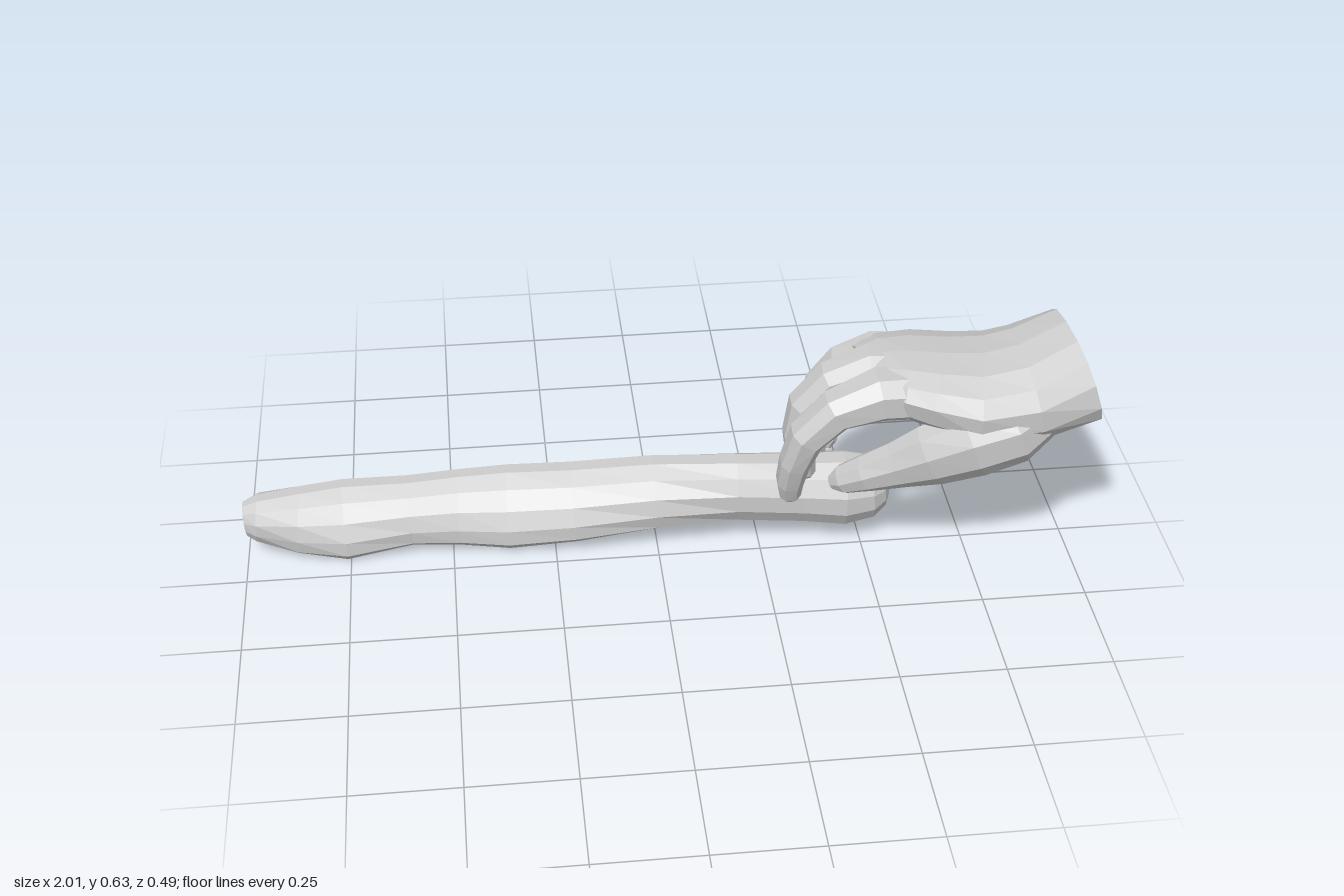
import * as THREE from 'three';

const material = new THREE.MeshStandardMaterial({ color: 0xcccccc, flatShading: true });

// Skin a closed, faceted surface over cross-sections.
// Row: [x, y, z, half height, half width, shear]; power < 1 squares the section.
function loft(name, rows, sides, power = 1) {
  const centres = rows.map(r => new THREE.Vector3(r[0], r[1], r[2]));
  const positions = [], index = [];
  const n = rows.length;
  const bend = v => Math.sign(v) * Math.pow(Math.abs(v), power);
  rows.forEach((r, i) => {
    const t = centres[Math.min(i + 1, n - 1)].clone().sub(centres[Math.max(i - 1, 0)]).normalize();
    const side = new THREE.Vector3(0, 0, 1).addScaledVector(t, -t.z).normalize();
    const up = side.clone().cross(t);
    for (let k = 0; k < sides; k++) {
      const a = (k + 0.5) / sides * Math.PI * 2;
      const h = bend(Math.sin(a)) * r[3];
      const w = bend(Math.cos(a)) * r[4] + (r[5] || 0) * h;
      const p = centres[i].clone().addScaledVector(up, h).addScaledVector(side, w);
      positions.push(p.x, p.y, p.z);
    }
  });
  for (let i = 0; i < n - 1; i++) {
    for (let k = 0; k < sides; k++) {
      const a = i * sides + k, a1 = i * sides + (k + 1) % sides;
      index.push(a, a + sides, a1, a1, a + sides, a1 + sides);
    }
  }
  // End caps
  const first = n * sides, last = first + 1, base = (n - 1) * sides;
  positions.push(...centres[0].toArray(), ...centres[n - 1].toArray());
  for (let k = 0; k < sides; k++) {
    const k1 = (k + 1) % sides;
    index.push(first, k, k1, last, base + k1, base + k);
  }
  const g = new THREE.BufferGeometry();
  g.setAttribute('position', new THREE.Float32BufferAttribute(positions, 3));
  g.setIndex(index);
  const flat = g.toNonIndexed();
  flat.computeVertexNormals();
  const mesh = new THREE.Mesh(flat, material);
  mesh.name = name;
  return mesh;
}

// Finger: joint points with a radius each, rounded off at the tip
function finger(name, joints) {
  const rows = joints.map(([x, y, z, r]) => [x, y, z, r, r * 1.12]);
  const [x, y, z, r] = joints[joints.length - 1];
  const p = joints[joints.length - 2];
  const d = new THREE.Vector3(x - p[0], y - p[1], z - p[2]).setLength(r * 0.7);
  rows.push([x + d.x, y + d.y, z + d.z, r * 0.55, r * 0.6]);
  return loft(name, rows, 8, 0.85);
}

export function createModel() {
  const model = new THREE.Group();
  model.name = 'handAndStick';

  // Long, uneven stick lying along x
  model.add(loft('stick', [
    [-1.0, 0.095, -0.13, 0.045, 0.040],
    [-0.97, 0.097, -0.13, 0.060, 0.060],
    [-0.87, 0.085, -0.125, 0.076, 0.064, -0.3],
    [-0.76, 0.081, -0.12, 0.083, 0.064, -0.5],
    [-0.60, 0.093, -0.125, 0.075, 0.064, -0.4],
    [-0.48, 0.095, -0.122, 0.080, 0.064, -0.45],
    [-0.36, 0.095, -0.112, 0.087, 0.067, -0.5],
    [-0.20, 0.110, -0.095, 0.082, 0.070, -0.5],
    [0.0, 0.130, -0.088, 0.082, 0.074, -0.3],
    [0.20, 0.140, -0.074, 0.087, 0.076],
    [0.36, 0.138, -0.060, 0.088, 0.082],
    [0.46, 0.135, -0.052, 0.094, 0.089],
    [0.525, 0.138, -0.050, 0.080, 0.078],
    [0.555, 0.142, -0.050, 0.055, 0.055],
    [0.567, 0.143, -0.050, 0.030, 0.030],
  ], 12));

  const hand = new THREE.Group();
  hand.name = 'hand';
  model.add(hand);

  // Palm and back of the hand, ending in a flat cut at the wrist
  hand.add(loft('palm', [
    [0.48, 0.500, -0.005, 0.040, 0.10],
    [0.52, 0.500, -0.010, 0.062, 0.135, 0.2],
    [0.58, 0.495, -0.005, 0.075, 0.160, 0.3],
    [0.66, 0.488, 0.020, 0.088, 0.175, 0.3],
    [0.75, 0.480, 0.050, 0.100, 0.180, 0.1],
    [0.85, 0.495, 0.060, 0.106, 0.172, 0],
    [0.972, 0.530, 0.050, 0.108, 0.152, -0.2],
  ], 14, 0.88));

  // Fleshy heel of the palm on the little finger's side
  hand.add(loft('palmHeel', [
    [0.90, 0.495, -0.02, 0.050, 0.050],
    [0.80, 0.460, -0.040, 0.070, 0.065],
    [0.70, 0.445, -0.075, 0.064, 0.065],
    [0.62, 0.445, -0.115, 0.054, 0.055],
    [0.55, 0.450, -0.135, 0.030, 0.035],
  ], 9));

  // Thumb with its fleshy base
  hand.add(loft('thumb', [
    [0.90, 0.485, 0.135, 0.060, 0.060],
    [0.80, 0.440, 0.160, 0.090, 0.085],
    [0.71, 0.410, 0.162, 0.094, 0.076],
    [0.62, 0.365, 0.148, 0.082, 0.060],
    [0.55, 0.325, 0.124, 0.062, 0.050],
    [0.48, 0.288, 0.100, 0.047, 0.044],
    [0.43, 0.256, 0.076, 0.036, 0.036],
    [0.405, 0.241, 0.066, 0.018, 0.018],
  ], 9));

  // Four fingers curling down to the stick
  const fingers = {
    indexFinger: [[0.62, 0.500, 0.085, 0.060], [0.50, 0.500, 0.085, 0.060], [0.40, 0.465, 0.090, 0.048],
      [0.335, 0.395, 0.088, 0.043], [0.312, 0.315, 0.076, 0.037], [0.305, 0.25, 0.060, 0.033], [0.308, 0.207, 0.050, 0.027]],
    middleFinger: [[0.60, 0.51, 0.0, 0.050], [0.50, 0.512, -0.01, 0.055], [0.41, 0.475, -0.020, 0.046],
      [0.35, 0.405, -0.025, 0.043], [0.337, 0.325, -0.027, 0.039], [0.345, 0.25, -0.029, 0.036], [0.355, 0.21, -0.03, 0.029]],
    ringFinger: [[0.61, 0.495, -0.08, 0.050], [0.52, 0.495, -0.095, 0.050], [0.45, 0.460, -0.112, 0.043],
      [0.405, 0.395, -0.122, 0.041], [0.39, 0.325, -0.125, 0.038], [0.39, 0.25, -0.122, 0.035], [0.395, 0.208, -0.117, 0.028]],
    littleFinger: [[0.66, 0.475, -0.105, 0.048], [0.585, 0.455, -0.160, 0.046], [0.525, 0.410, -0.196, 0.037],
      [0.48, 0.35, -0.210, 0.035], [0.455, 0.29, -0.197, 0.034], [0.435, 0.235, -0.172, 0.032], [0.43, 0.205, -0.156, 0.026]],
  };
  for (const [name, joints] of Object.entries(fingers)) hand.add(finger(name, joints));

  return model;
}
